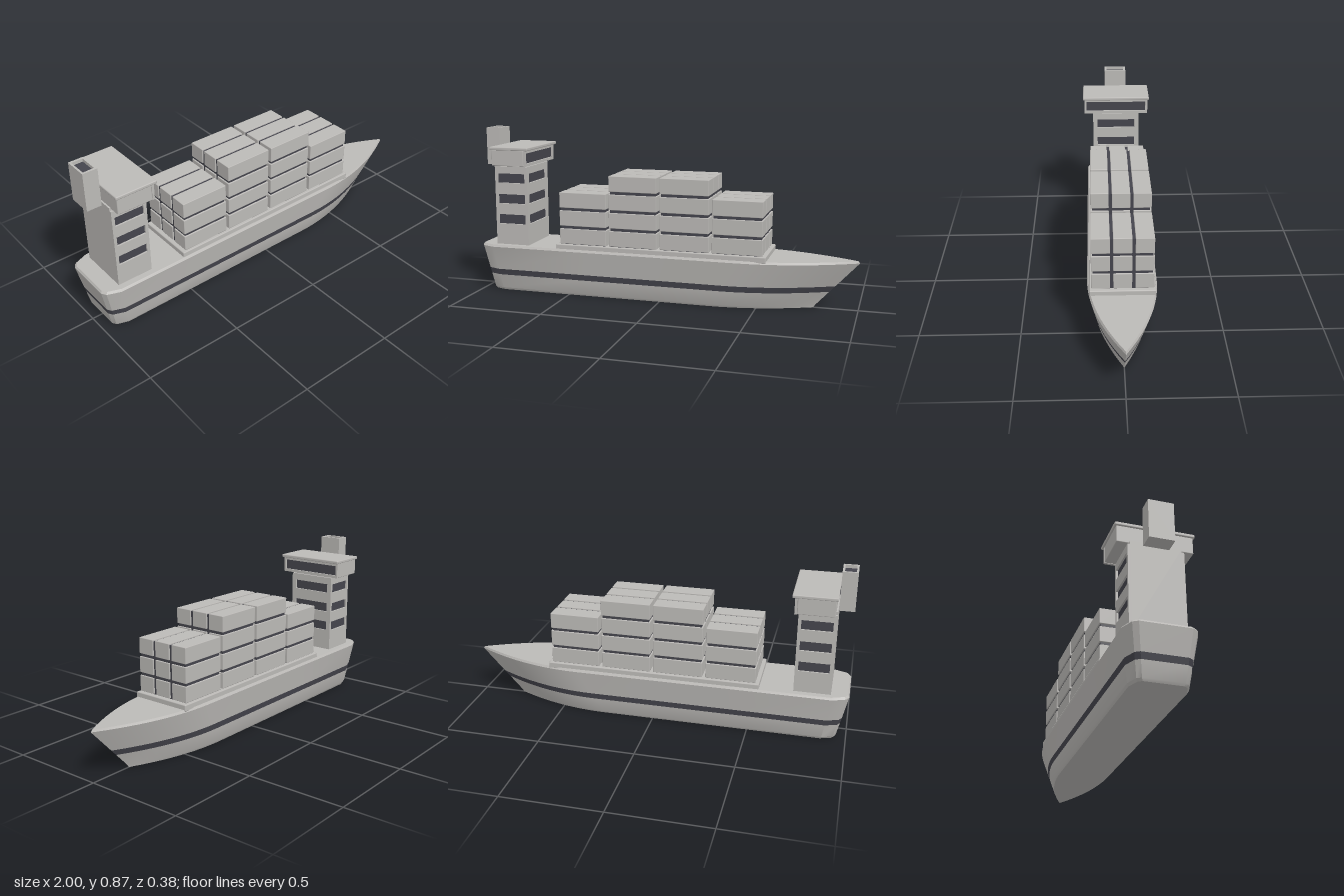
import * as THREE from 'three';
import { toCreasedNormals } from 'three/addons/utils/BufferGeometryUtils.js';
import { RoundedBoxGeometry } from 'three/addons/geometries/RoundedBoxGeometry.js';

const light = new THREE.MeshStandardMaterial({ color: 0xbcbab7 });
light.name = 'light grey';
const dark = new THREE.MeshStandardMaterial({ color: 0x45454d });
dark.name = 'dark slate';

function add(parent, name, geometry, material) {
  const mesh = new THREE.Mesh(geometry, material);
  mesh.name = name;
  parent.add(mesh);
  return mesh;
}

// Box given by its limits, with an optional small chamfer
function box(parent, name, [x0, x1], [y0, y1], [z0, z1], material = light, bevel = 0) {
  const size = [x1 - x0, y1 - y0, z1 - z0];
  const geometry = bevel ? new RoundedBoxGeometry(...size, 1, bevel) : new THREE.BoxGeometry(...size);
  const mesh = add(parent, name, geometry, material);
  mesh.position.set((x0 + x1) / 2, (y0 + y1) / 2, (z0 + z1) / 2);
  return mesh;
}

function rect(Type, w, y0, y1) {
  const p = [[-w, y0], [w, y0], [w, y1], [-w, y1]];
  return new Type(p.map(([x, y]) => new THREE.Vector2(x, y)));
}

// Wall slab facing +z with recessed dark windows; base of the slab lies on z = 0
function windowWall(name, halfWidth, y0, y1, halfWindow, rows, depth) {
  const wall = new THREE.Group();
  wall.name = name;
  const shape = rect(THREE.Shape, halfWidth, y0, y1);
  for (const [a, b] of rows) {
    shape.holes.push(rect(THREE.Path, halfWindow, a, b));
    box(wall, 'windowPane', [-halfWindow, halfWindow], [a, b], [0, 0.003], dark);
  }
  add(wall, 'wallPanel', new THREE.ExtrudeGeometry(shape, { depth, bevelEnabled: false }), light);
  return wall;
}

// Half outline of the deck from stern to bow
function deckOutline() {
  const half = [[-1, 0.12], [-0.985, 0.145], [-0.92, 0.171], [-0.4, 0.171], [0, 0.171]];
  for (let i = 0; i <= 12; i++) {
    const t = i / 12;
    half.push([0.4 + 0.6 * t, 0.171 * (1 - t * t)]);
  }
  const mirrored = half.slice(0, -1).reverse().map(([x, z]) => [x, -z]);
  return [...half, ...mirrored];
}

// Hull rings: height, outline shrink at stern, at bow and across the beam
function hull(group) {
  const outline = deckOutline();
  const ring = (y) => {
    const k = (0.243 - Math.min(Math.max(y, 0.012), 0.243)) / 0.231;
    const inset = y < 0.012 || y > 0.243 ? 0.007 : 0;
    return outline.map(([x, z]) => new THREE.Vector3(
      -1 + 0.05 * k + inset + (x + 1) / 2 * (2 - 0.265 * k - 2 * inset),
      y,
      z * (1 - 0.205 * k - inset / 0.171)
    ));
  };
  const skin = (levels) => {
    const v = [];
    const tri = (...points) => points.forEach((p) => v.push(p.x, p.y, p.z));
    const rings = levels.map(ring);
    const n = outline.length;
    for (let r = 0; r + 1 < rings.length; r++) {
      for (let i = 0; i < n; i++) {
        const j = (i + 1) % n;
        const [a, b, c, d] = [rings[r][i], rings[r][j], rings[r + 1][j], rings[r + 1][i]];
        tri(a, b, c);
        tri(a, c, d);
      }
    }
    // Flat caps for keel and deck
    for (let i = 1; i + 1 < n; i++) {
      if (levels[0] === 0) tri(rings[0][0], rings[0][i + 1], rings[0][i]);
      const top = rings[rings.length - 1];
      if (levels[levels.length - 1] > 0.25) tri(top[0], top[i], top[i + 1]);
    }
    const geometry = new THREE.BufferGeometry();
    geometry.setAttribute('position', new THREE.Float32BufferAttribute(v, 3));
    return toCreasedNormals(geometry, 0.4);
  };
  add(group, 'lowerHull', skin([0, 0.012, 0.087]), light);
  add(group, 'hullStripe', skin([0.087, 0.118]), dark);
  add(group, 'upperHullAndDeck', skin([0.118, 0.243, 0.254]), light);
}

// Stacked containers on a hatch plate, each stack around a dark core
function cargo(group) {
  box(group, 'hatchPlate', [-0.555, 0.555], [0.245, 0.279], [-0.16, 0.16], light, 0.005);
  const stacks = new THREE.Group();
  stacks.name = 'containers';
  group.add(stacks);
  [3, 4, 4, 3].forEach((tiers, column) => {
    const x = (column - 1.5) * 0.2725;
    const top = 0.281 + (tiers - 1) * 0.0957 + 0.081;
    box(stacks, 'stackCore', [x - 0.121, x + 0.121], [0.278, top - 0.007], [-0.143, 0.143], dark);
    for (let tier = 0; tier < tiers; tier++) {
      for (let row = -1; row <= 1; row++) {
        const y = 0.281 + tier * 0.0957;
        const z = row * 0.105;
        box(stacks, 'container', [x - 0.128, x + 0.128], [y, y + 0.081], [z - 0.045, z + 0.045], light, 0.003);
      }
    }
  });
}

function superstructure(group) {
  const d = 0.012;

  // Tower with three rows of windows on both sides and towards the bow
  const tower = new THREE.Group();
  tower.name = 'tower';
  group.add(tower);
  box(tower, 'towerBody', [-0.91, -0.725 - d], [0.25, 0.69], [-0.133 + d, 0.133 - d]);
  const rows = [[0.366, 0.417], [0.476, 0.526], [0.587, 0.637]];
  for (const side of [1, -1]) {
    const wall = windowWall('sideWall', 0.0925, 0.25, 0.675, 0.077, rows, d);
    wall.position.set(-0.8175, 0, side * (0.133 - d));
    if (side < 0) wall.rotation.y = Math.PI;
    tower.add(wall);
  }
  const front = windowWall('bowWall', 0.133 - d, 0.25, 0.675, 0.108, rows, d);
  front.rotation.y = Math.PI / 2;
  front.position.x = -0.725 - d;
  tower.add(front);

  // Bridge with one long window and an overhanging roof
  const bridge = new THREE.Group();
  bridge.name = 'bridge';
  group.add(bridge);
  box(bridge, 'bridgeBody', [-0.902, -0.708 - d], [0.683, 0.768], [-0.182, 0.182], light, 0.004);
  const screen = windowWall('bridgeFront', 0.182, 0.683, 0.766, 0.17, [[0.698, 0.752]], d);
  screen.rotation.y = Math.PI / 2;
  screen.position.x = -0.708 - d;
  bridge.add(screen);
  box(bridge, 'bridgeRoof', [-0.91, -0.694], [0.766, 0.783], [-0.19, 0.19], light, 0.005);

  // Funnel: open rectangular tube with a dark plug
  const shape = rect(THREE.Shape, 0.038, -0.061, 0.061);
  shape.holes.push(rect(THREE.Path, 0.028, -0.049, 0.049));
  const tube = new THREE.ExtrudeGeometry(shape, { depth: 0.198, bevelEnabled: false });
  tube.rotateX(-Math.PI / 2);
  const funnel = add(group, 'funnel', tube, light);
  funnel.position.set(-0.95, 0.674, 0);
  box(group, 'funnelOpening', [-0.978, -0.922], [0.85, 0.856], [-0.049, 0.049], dark);
  box(group, 'funnelFloor', [-0.978, -0.922], [0.674, 0.68], [-0.049, 0.049]);
}

export function createModel() {
  const group = new THREE.Group();
  group.name = 'cargoShip';
  hull(group);
  cargo(group);
  superstructure(group);
  return group;
}
